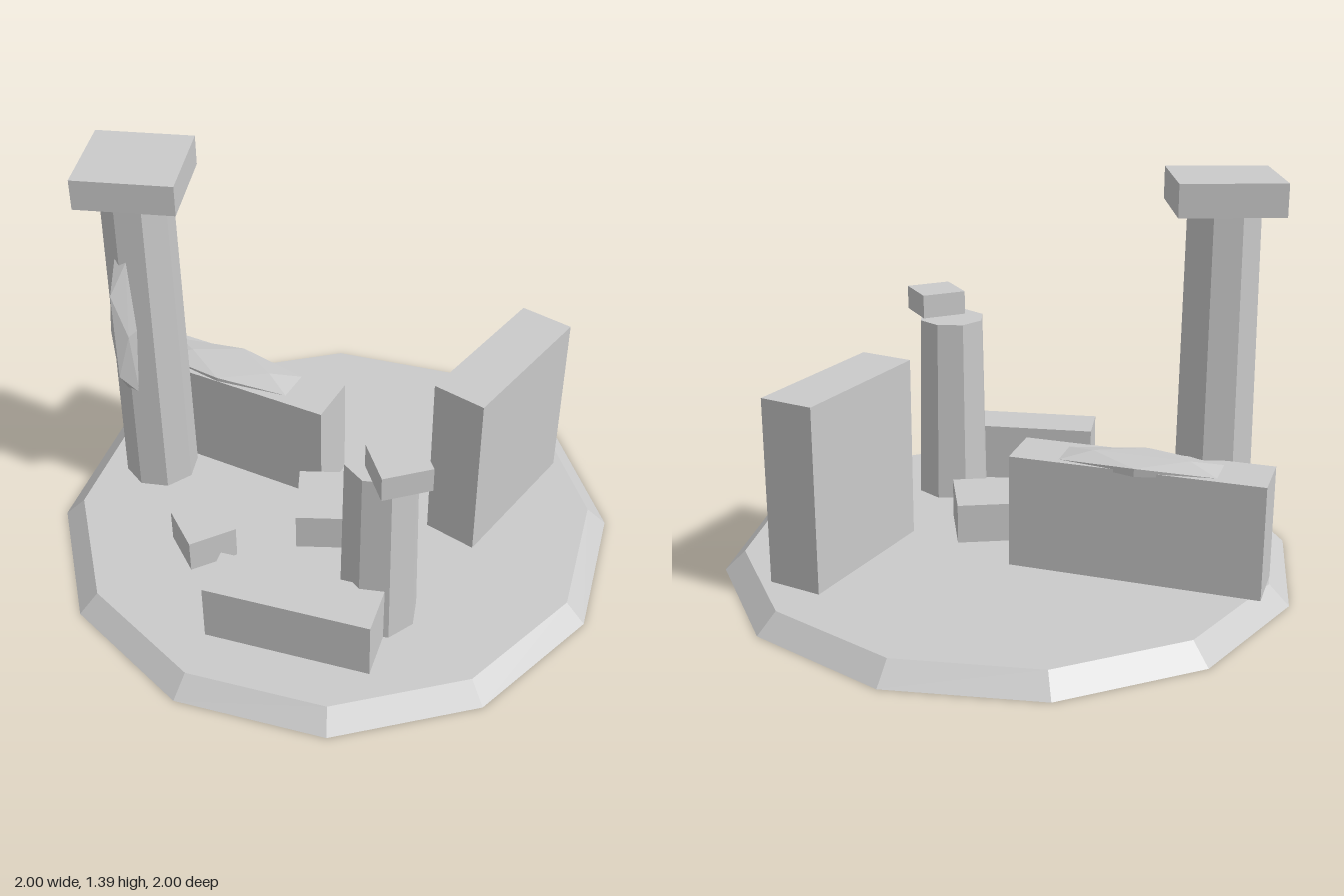
import * as THREE from 'three';

const GROUND = 0.067; // top of the base disc

export function createModel() {
  const model = new THREE.Group();
  model.name = 'ruins';
  const stone = new THREE.MeshStandardMaterial({ color: 0xcacaca });
  stone.name = 'grey stone';

  function add(name, geometry, x, y, z, turn = 0) {
    const mesh = new THREE.Mesh(geometry, stone);
    mesh.name = name;
    mesh.position.set(x, y, z);
    mesh.rotation.y = turn;
    model.add(mesh);
    return mesh;
  }

  // Faceted tapered prism standing on y0
  function prism(name, rTop, rBottom, y0, y1, sides, x, z) {
    const g = new THREE.CylinderGeometry(rTop, rBottom, y1 - y0, sides).toNonIndexed();
    g.computeVertexNormals();
    return add(name, g, x, (y0 + y1) / 2, z);
  }

  // Block between two heights, turned about the vertical
  function block(name, w, d, y0, y1, x, z, turn) {
    return add(name, new THREE.BoxGeometry(w, y1 - y0, d), x, (y0 + y1) / 2, z, turn);
  }

  // Stretched faceted growth clinging to the stone
  function growth(name, sx, sy, sz, x, y, z, turn) {
    add(name, new THREE.IcosahedronGeometry(1, 0), x, y, z, turn).scale.set(sx, sy, sz);
  }

  // Twelve-sided base with sloping rim
  prism('base', 0.93, 1, 0, GROUND, 12, 0, 0);

  // Columns and their slabs
  prism('tallColumn', 0.122, 0.134, GROUND, 1.28, 8, -0.682, 0.145);
  block('tallColumnCap', 0.34, 0.34, 1.28, 1.387, -0.68, 0.145, 0.43);
  prism('shortColumn', 0.122, 0.135, GROUND, 0.745, 8, 0.393, 0.36);
  block('shortColumnCap', 0.165, 0.165, 0.746, 0.833, 0.483, 0.414, -0.74);

  // Standing walls
  block('longWall', 0.855, 0.192, GROUND, 0.46, -0.499, -0.072, 0.081);
  block('highWall', 0.194, 0.571, GROUND, 0.71, 0.466, -0.359, -0.1);

  // Fallen blocks
  block('fallenBeam', 0.57, 0.178, GROUND, 0.28, 0.214, 0.606, 0.25);
  block('middleBlock', 0.317, 0.245, GROUND, 0.207, 0.074, 0.072, 0.51);
  block('smallBlock', 0.18, 0.174, GROUND, 0.19, -0.284, 0.424, -0.57);

  // Growths on the wall top and the column face
  growth('wallMoss', 0.31, 0.027, 0.118, -0.5, 0.46, -0.078, 0.081);
  growth('columnVine', 0.045, 0.325, 0.081, -0.682, 0.775, 0.26, 0);

  return model;
}
